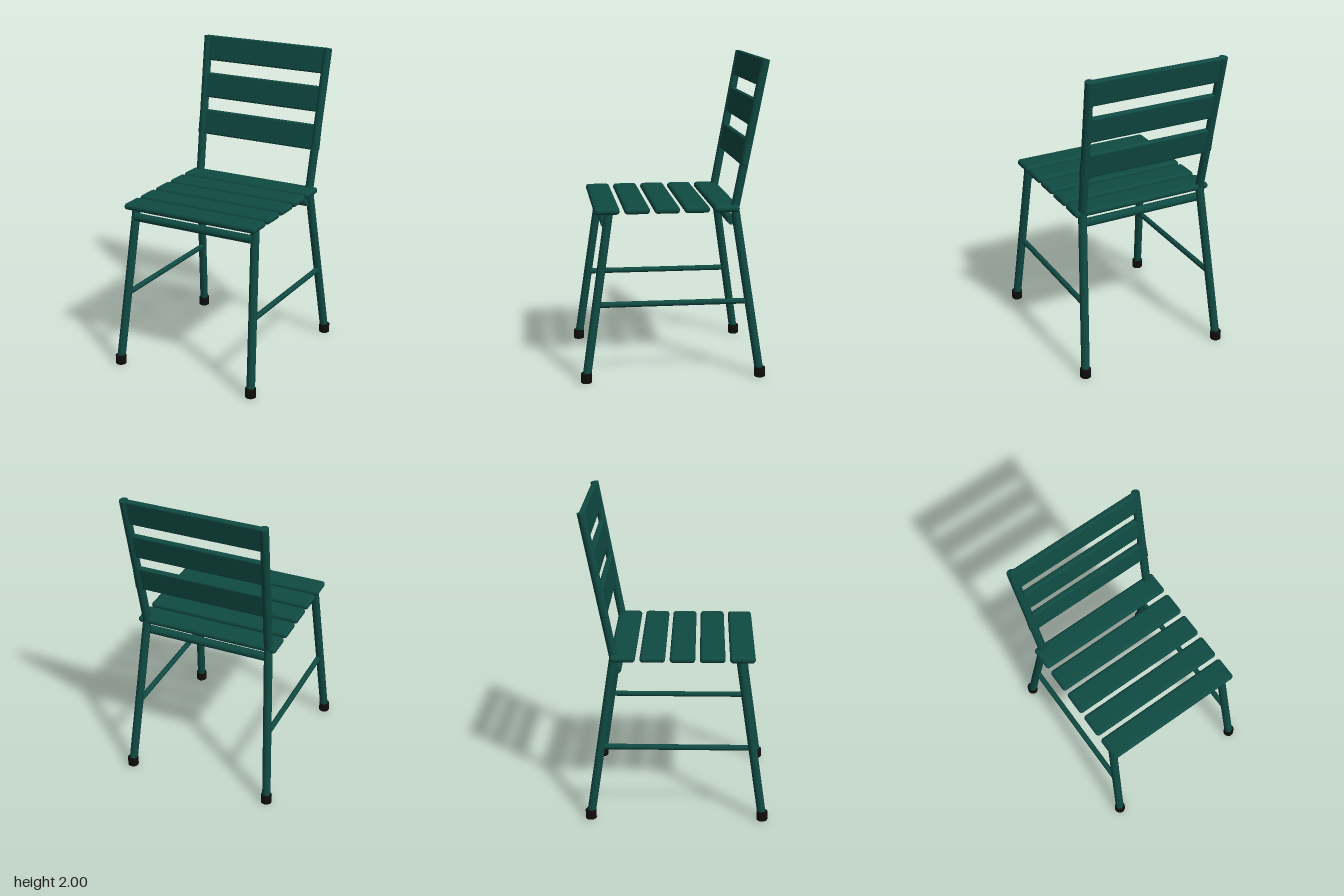
import * as THREE from 'three';
import { RoundedBoxGeometry } from 'three/addons/geometries/RoundedBoxGeometry.js';

export function createModel() {
  const group = new THREE.Group();
  group.name = 'slattedChair';

  const green = new THREE.MeshStandardMaterial({ color: 0x0f4a42 });
  green.name = 'dark green paint';
  const black = new THREE.MeshStandardMaterial({ color: 0x100e0d });
  black.name = 'black rubber';

  const add = (name, geometry, material, pos = [0, 0, 0]) => {
    const mesh = new THREE.Mesh(geometry, material);
    mesh.name = name;
    mesh.position.set(...pos);
    group.add(mesh);
    return mesh;
  };

  // Round bar between two points
  const bar = (name, from, to, radius) => {
    const a = new THREE.Vector3(...from);
    const b = new THREE.Vector3(...to);
    const dir = b.clone().sub(a);
    const mesh = add(name, new THREE.CylinderGeometry(radius, radius, dir.length(), 24), green);
    mesh.position.copy(a).add(b).multiplyScalar(0.5);
    mesh.quaternion.setFromUnitVectors(new THREE.Vector3(0, 1, 0), dir.normalize());
    return mesh;
  };

  const R = 0.027;
  const backBend = { y: 1.075, z: -0.386 };
  const backTop = { y: 1.994, z: -0.56 };

  // Legs, back posts, side stretchers and feet, mirrored
  for (const s of [-1, 1]) {
    const side = s > 0 ? 'left' : 'right';
    bar(side + 'FrontLeg', [s * 0.483, 0.02, 0.552], [s * 0.425, 1.094, 0.396], R);
    bar(side + 'BackLeg', [s * 0.483, 0.02, -0.543], [s * 0.415, backBend.y, backBend.z], R);
    bar(side + 'BackPost', [s * 0.415, backBend.y, backBend.z], [s * 0.445, backTop.y, backTop.z], R);
    add(side + 'PostBend', new THREE.SphereGeometry(R, 24, 16), green,
      [s * 0.415, backBend.y, backBend.z]);
    bar(side + 'Stretcher', [s * 0.451, 0.487, 0.483], [s * 0.451, 0.487, -0.473], 0.018);

    // Rubber feet with a softened rim
    const foot = [[0, 0], [0.031, 0], [0.035, 0.004], [0.035, 0.059], [0.031, 0.063], [0, 0.063]]
      .map(([x, y]) => new THREE.Vector2(x, y));
    for (const [end, z] of [['Front', 0.552], ['Back', -0.543]]) {
      add(side + end + 'Foot', new THREE.LatheGeometry(foot, 24), black, [s * 0.483, 0, z]);
    }
  }

  // Cross bars under the seat
  bar('frontCrossBar', [-0.42, 0.995, 0.424], [0.42, 0.995, 0.424], R);
  bar('backCrossBar', [-0.415, 0.995, -0.366], [0.415, 0.995, -0.366], R);

  // Seat slats
  for (let i = 0; i < 5; i++) {
    add('seatSlat' + (i + 1), new RoundedBoxGeometry(0.94, 0.042, 0.158, 4, 0.02), green,
      [0, 1.076, 0.413 - i * 0.186]);
  }

  // Back slats, leaning with the posts
  const slope = (backTop.z - backBend.z) / (backTop.y - backBend.y);
  for (let i = 0; i < 3; i++) {
    const y = 1.914 - i * 0.247;
    const slat = add('backSlat' + (i + 1), new RoundedBoxGeometry(0.908, 0.168, 0.036, 4, 0.012), green,
      [0, y, backBend.z + (y - backBend.y) * slope]);
    slat.rotation.x = Math.atan(slope);
  }

  return group;
}
